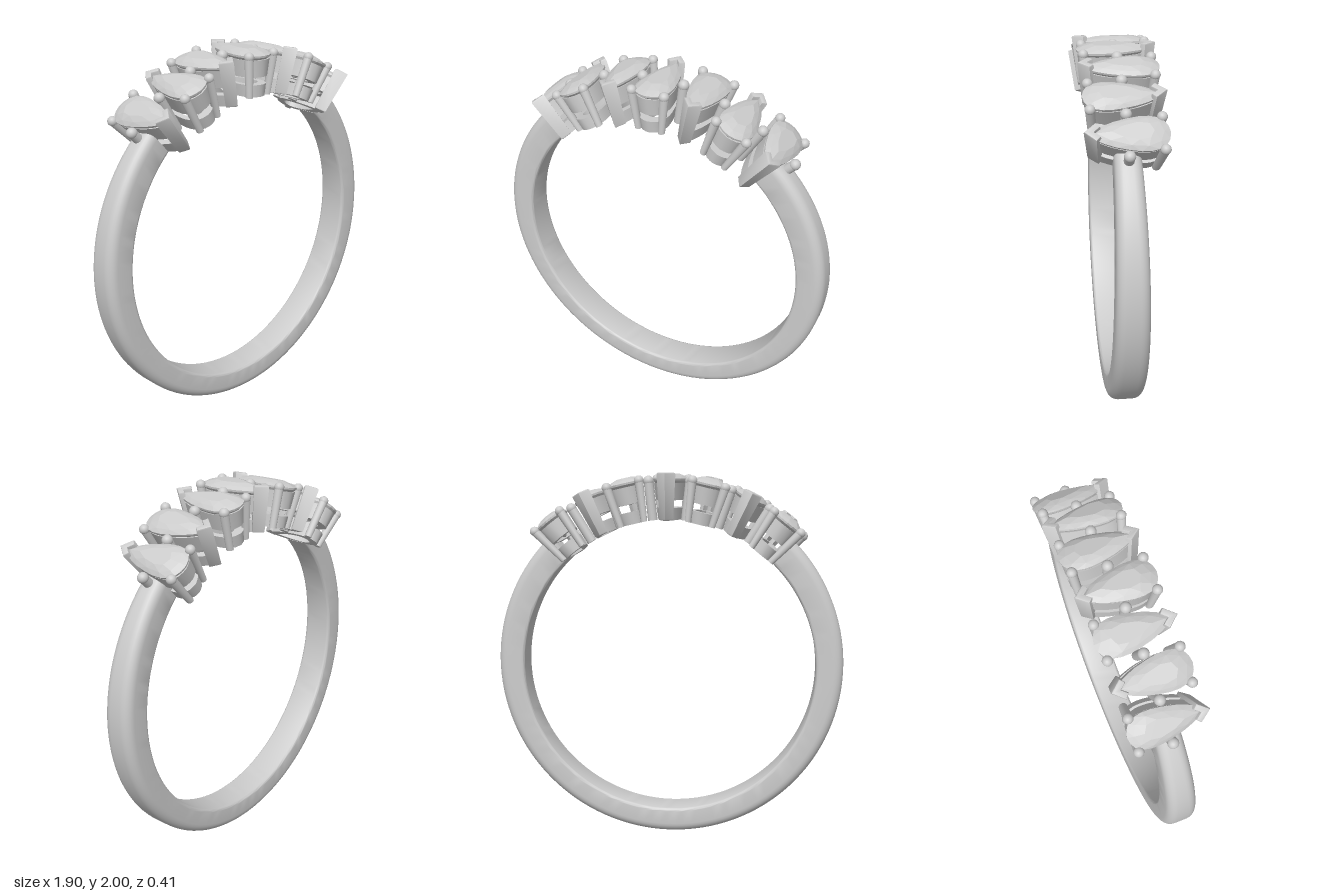
import * as THREE from 'three';
import { mergeGeometries, toCreasedNormals } from 'three/addons/utils/BufferGeometryUtils.js';
import { ConvexGeometry } from 'three/addons/geometries/ConvexGeometry.js';

const CY = 0.945, RI = 0.805, STEP = 12.8; // ring centre height, inner radius, degrees between stones
const rad = THREE.MathUtils.degToRad;
const metal = new THREE.MeshStandardMaterial({ color: 0xcccccc });
const gem = new THREE.MeshStandardMaterial({ color: 0xcccccc, flatShading: true });

function mesh(geometry, name, material = metal) {
  const m = new THREE.Mesh(geometry, material);
  m.name = name;
  return m;
}

// Pear outline in the x/z plane: round end at +z, point at -z
const pearCurve = new THREE.SplineCurve([
  [0, 0.2], [0.05, 0.187], [0.083, 0.15], [0.095, 0.09], [0.088, 0.02],
  [0.066, -0.07], [0.035, -0.14], [0, -0.195],
].map(p => new THREE.Vector2(...p)));

function pear(n, scale = 1) {
  const half = pearCurve.getPoints(n);
  const other = half.slice(1, -1).reverse().map(p => new THREE.Vector2(-p.x, p.y));
  return [...half, ...other].map(p => new THREE.Vector2(p.x * scale, (p.y - 0.04) * scale + 0.04));
}

// Settings narrow towards the finger
function taper(geometry) {
  const p = geometry.attributes.position;
  for (let i = 0; i < p.count; i++) {
    const k = Math.min(1, (p.getY(i) - RI) / 0.22);
    p.setX(i, p.getX(i) * (0.72 + 0.28 * k));
    p.setZ(i, p.getZ(i) * (0.87 + 0.13 * k));
  }
  return geometry;
}

// Extrude an outline (x, -z) radially between two heights
function upright(shape, y0, y1, bevel = 0) {
  const g = new THREE.ExtrudeGeometry(shape, {
    depth: y1 - y0 - 2 * bevel, bevelEnabled: bevel > 0, bevelSize: bevel,
    bevelThickness: bevel, bevelOffset: -bevel, bevelSegments: 2,
  });
  g.rotateX(-Math.PI / 2).translate(0, y0 + bevel, 0);
  return toCreasedNormals(taper(g), 0.6);
}

function rail(y0, y1) {
  const flip = p => new THREE.Vector2(p.x, -p.y);
  const shape = new THREE.Shape(pear(14, 0.97).map(flip));
  shape.holes.push(new THREE.Path(pear(14, 0.62).map(flip)));
  return upright(shape, y0, y1);
}

// Round wire with a domed tip
function prongGeometry(x, z, top, r = 0.024) {
  const h = top - r - RI;
  const wire = new THREE.CylinderGeometry(r, r, h, 14).translate(0, RI + h / 2, 0);
  const tip = new THREE.SphereGeometry(r * 1.1, 14, 10).translate(0, top - r * 1.1, 0);
  return mergeGeometries([wire, tip]).translate(x, 0, z);
}

// Faceted pear stone
function stoneGeometry() {
  const pts = [];
  const ring = (n, s, y) => pear(n, s).forEach(p => pts.push(new THREE.Vector3(p.x, y, p.y)));
  ring(10, 1, 1.022);
  ring(10, 0.99, 1.012);
  ring(5, 0.8, 1.037);
  ring(4, 0.5, 1.05);
  ring(5, 0.55, 0.955);
  pts.push(new THREE.Vector3(0, 0.905, 0.04));
  return new ConvexGeometry(pts);
}

const chevron = new THREE.Shape([
  [0, 0.207], [-0.05, 0.15], [-0.026, 0.128], [0, 0.158], [0.026, 0.128], [0.05, 0.15],
].map(p => new THREE.Vector2(...p)));

// Tapered shank, swept from shoulder to shoulder around the bottom
function bandGeometry() {
  const N = 96, start = rad(42), pos = [], idx = [];
  // corner arcs as [z sign, outer?, first angle], radius 0.05 outside and 0.018 inside
  const corners = [[-1, 1, 180], [1, 1, 90], [1, 0, 0], [-1, 0, -90]];
  const M = corners.length * 7;
  for (let i = 0; i <= N; i++) {
    const a = start + (2 * Math.PI - 2 * start) * i / N;
    const up = (Math.cos(a) + 1) / 2;
    const w = 0.09 - 0.034 * Math.pow(up, 2.5);
    const t = 0.14 + 0.03 * up * up;
    for (const [side, outer, first] of corners) {
      const c = outer ? 0.05 : 0.018;
      for (let k = 0; k < 7; k++) {
        const q = rad(first - 15 * k);
        const z = side * (w - c) + c * Math.cos(q);
        const r = RI + (outer ? t - c : c) + c * Math.sin(q);
        pos.push(Math.sin(a) * r, CY + Math.cos(a) * r, z);
      }
    }
  }
  for (let i = 0; i < N; i++) for (let j = 0; j < M; j++) {
    const a = i * M + j, b = i * M + (j + 1) % M;
    idx.push(a, b, a + M, b, b + M, a + M);
  }
  for (let j = 1; j < M - 1; j++) {
    idx.push(0, j + 1, j, N * M, N * M + j, N * M + j + 1);
  }
  const g = new THREE.BufferGeometry();
  g.setAttribute('position', new THREE.Float32BufferAttribute(pos, 3));
  g.setIndex(idx);
  return toCreasedNormals(g, 0.6);
}

export function createModel() {
  const model = new THREE.Group();
  model.name = 'ring';
  model.add(mesh(bandGeometry(), 'band'));

  const stone = stoneGeometry();
  const upperRail = rail(0.91, 1.0), lowerRail = rail(RI, 0.87);
  const tipProng = upright(chevron, RI, 1.054, 0.008);
  const endProngs = [-1, 1].map(s => taper(prongGeometry(s * 0.088, 0.168, 1.046)));

  // Seven settings, the points alternating back and front
  for (let i = -3; i <= 3; i++) {
    const setting = new THREE.Group();
    setting.name = 'setting';
    setting.position.y = CY;
    setting.rotation.order = 'ZYX';
    setting.rotation.set(0, i % 2 ? Math.PI : 0, -rad(i * STEP));
    setting.add(
      mesh(stone, 'stone', gem),
      mesh(upperRail, 'upperRail'),
      mesh(lowerRail, 'lowerRail'),
      mesh(tipProng, 'tipProng'),
      ...endProngs.map(g => mesh(g, 'endProng')),
    );
    model.add(setting);
  }

  // Prongs shared between neighbouring stones, and one at each shoulder
  const shared = prongGeometry(0, 0, 1.045, 0.026);
  for (let i = -3.5; i <= 3.5; i++) {
    const prong = mesh(shared, 'sharedProng');
    prong.position.y = CY;
    prong.rotation.z = -rad(i * STEP);
    model.add(prong);
  }
  return model;
}
